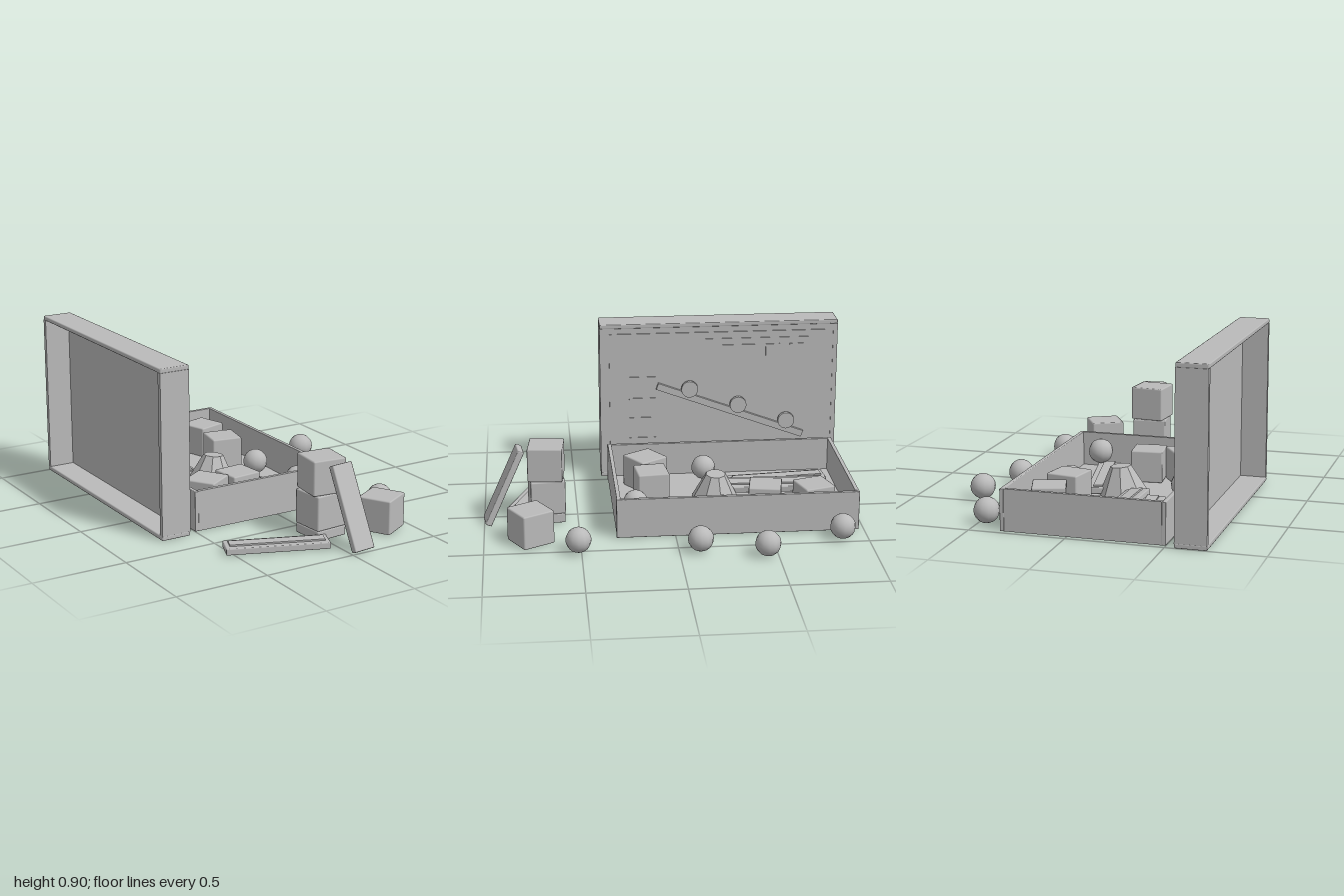
import * as THREE from 'three';
import { RoundedBoxGeometry } from 'three/addons/geometries/RoundedBoxGeometry.js';

export function createModel() {
  const root = new THREE.Group();
  const grey = new THREE.MeshStandardMaterial({ color: 0xbababa });
  grey.name = 'plainGrey';

  const add = (parent, name, geometry, x, y, z) => {
    const mesh = new THREE.Mesh(geometry, grey);
    mesh.name = name;
    mesh.position.set(x, y, z);
    parent.add(mesh);
    return mesh;
  };
  const group = (name, x = 0, y = 0, z = 0) => {
    const g = new THREE.Group();
    g.name = name;
    g.position.set(x, y, z);
    root.add(g);
    return g;
  };
  // Box given by its limits on each axis
  const slab = (parent, name, x0, x1, y0, y1, z0, z1, r = 0) => {
    const size = [x1 - x0, y1 - y0, z1 - z0];
    const geo = r ? new RoundedBoxGeometry(...size, 1, r) : new THREE.BoxGeometry(...size);
    return add(parent, name, geo, (x0 + x1) / 2, (y0 + y1) / 2, (z0 + z1) / 2);
  };

  // Open tray
  const tray = group('tray');
  slab(tray, 'trayFloor', -0.49, 0.335, 0.012, 0.04, -0.965, 0.305);
  slab(tray, 'trayRightWall', -0.5, -0.478, 0.01, 0.226, -0.973, 0.31, 0.004);
  slab(tray, 'trayLeftWall', 0.324, 0.346, 0.01, 0.226, -0.973, 0.31, 0.004);
  slab(tray, 'trayBackWall', -0.48, 0.326, 0.01, 0.226, -0.97, -0.95);
  slab(tray, 'trayFrontWall', -0.48, 0.326, 0.01, 0.226, 0.287, 0.307);

  // Upright lid, hollow on its outer side
  const lid = group('lid');
  slab(lid, 'lidPanel', -0.57, -0.55, 0.02, 0.9, -0.99, 0.335);
  slab(lid, 'lidTop', -0.71, -0.547, 0.885, 0.91, -1, 0.343, 0.006);
  slab(lid, 'lidBottom', -0.71, -0.547, 0.01, 0.035, -1, 0.343, 0.006);
  slab(lid, 'lidFrontSide', -0.71, -0.547, 0.033, 0.887, 0.318, 0.343);
  slab(lid, 'lidBackSide', -0.71, -0.547, 0.033, 0.887, -1, -0.975);
  slab(lid, 'lidRaisedPanel', -0.551, -0.543, 0.065, 0.855, -0.95, 0.29);

  // Relief on the lid: ramp with wheels, ladder marks and a row of squares
  const relief = group('lidRelief');
  const slope = 0.355;
  const ramp = add(relief, 'ramp', new THREE.BoxGeometry(0.022, 0.038, 0.885), -0.535, 0.396, -0.393);
  ramp.rotation.x = -slope;
  for (const [y, z] of [[0.532, -0.16], [0.432, -0.436], [0.33, -0.712]]) {
    const rim = add(relief, 'wheel', new THREE.CylinderGeometry(0.047, 0.047, 0.022, 20), -0.519, y, z);
    const axle = add(relief, 'axle', new THREE.CylinderGeometry(0.036, 0.036, 0.025, 16), -0.537, y, z);
    rim.rotation.z = axle.rotation.z = Math.PI / 2;
  }
  for (const y of [0.24, 0.36, 0.475, 0.6]) {
    slab(relief, 'ladderMark', -0.545, -0.538, y - 0.004, y + 0.004, 0.03, 0.18);
  }
  slab(relief, 'shelfLine', -0.545, -0.538, 0.811, 0.818, -0.86, -0.25);
  for (const z of [-0.367, -0.497, -0.632, -0.767]) {
    slab(relief, 'square', -0.545, -0.536, 0.713, 0.78, z - 0.04, z + 0.04);
  }

  // Cubes: size, centre, turn
  const cubes = [
    [0.172, 0.161, 0.126, -0.76, 0.3],
    [0.172, 0.143, 0.126, -0.5, -0.18],
    [0.178, -0.317, 0.128, 0.108, 0.58],
    [0.172, -0.114, 0.126, 0.09, 0.1],
    [0.182, 0.345, 0.102, 0.756, 0.51],
    [0.185, 0.033, 0.157, 0.665, 0.08],
    [0.185, 0.033, 0.341, 0.665, -0.1],
  ];
  for (const [s, x, y, z, turn] of cubes) {
    add(root, 'cube', new RoundedBoxGeometry(s, s, s, 1, 0.008), x, y, z).rotation.y = turn;
  }
  add(root, 'stackBase', new RoundedBoxGeometry(0.18, 0.052, 0.18, 1, 0.006), 0.033, 0.038, 0.665).rotation.y = 0.08;

  // Planks with a narrow raised strip
  const plank = (name, x, y, z, length, turn, roll = 0, pitch = 0) => {
    const g = group(name, x, y, z);
    g.rotation.set(pitch, turn, roll, 'YXZ');
    add(g, 'plankBody', new RoundedBoxGeometry(0.125, 0.035, length, 1, 0.006), 0, 0, 0);
    add(g, 'plankStrip', new THREE.BoxGeometry(0.06, 0.01, length - 0.045), 0, 0.021, 0);
    return g;
  };
  plank('trayPlank', -0.295, 0.06, -0.63, 0.545, 0.095);
  plank('trayPlank', -0.167, 0.08, -0.59, 0.54, -0.03, -0.12);
  plank('trayPlank', 0.1, 0.062, -0.035, 0.55, 0.19);
  plank('loosePlank', -0.27, 0.029, 0.722, 0.53, Math.PI / 2 - 0.37);

  // Plank leaning on the stack
  const lean = group('leaningPlank', 0.063, 0.218, 0.893);
  lean.rotation.set(-0.43, 0.11, 0, 'YXZ');
  add(lean, 'plankBody', new RoundedBoxGeometry(0.125, 0.445, 0.035, 1, 0.006), 0, 0, 0);

  // Balls, in the tray and around it
  const ball = new THREE.SphereGeometry(0.067, 12, 10);
  const balls = [
    [-0.39, 0.11, -0.225], [0.215, 0.11, -0.26], [0.195, 0.147, 0.2],
    [0.455, 0.08, -0.865], [0.64, 0.08, -0.445], [0.55, 0.08, -0.11], [0.51, 0.08, 0.515],
  ];
  for (const p of balls) add(root, 'ball', ball, ...p);

  // Faceted cone with a cut tip, slightly tilted
  const cone = new THREE.CylinderGeometry(0.055, 0.135, 0.155, 8).toNonIndexed();
  cone.computeVertexNormals();
  const cutCone = add(root, 'cutCone', cone, -0.066, 0.118, -0.255);
  cutCone.rotation.set(0, 0.2, -0.1);

  return root;
}
